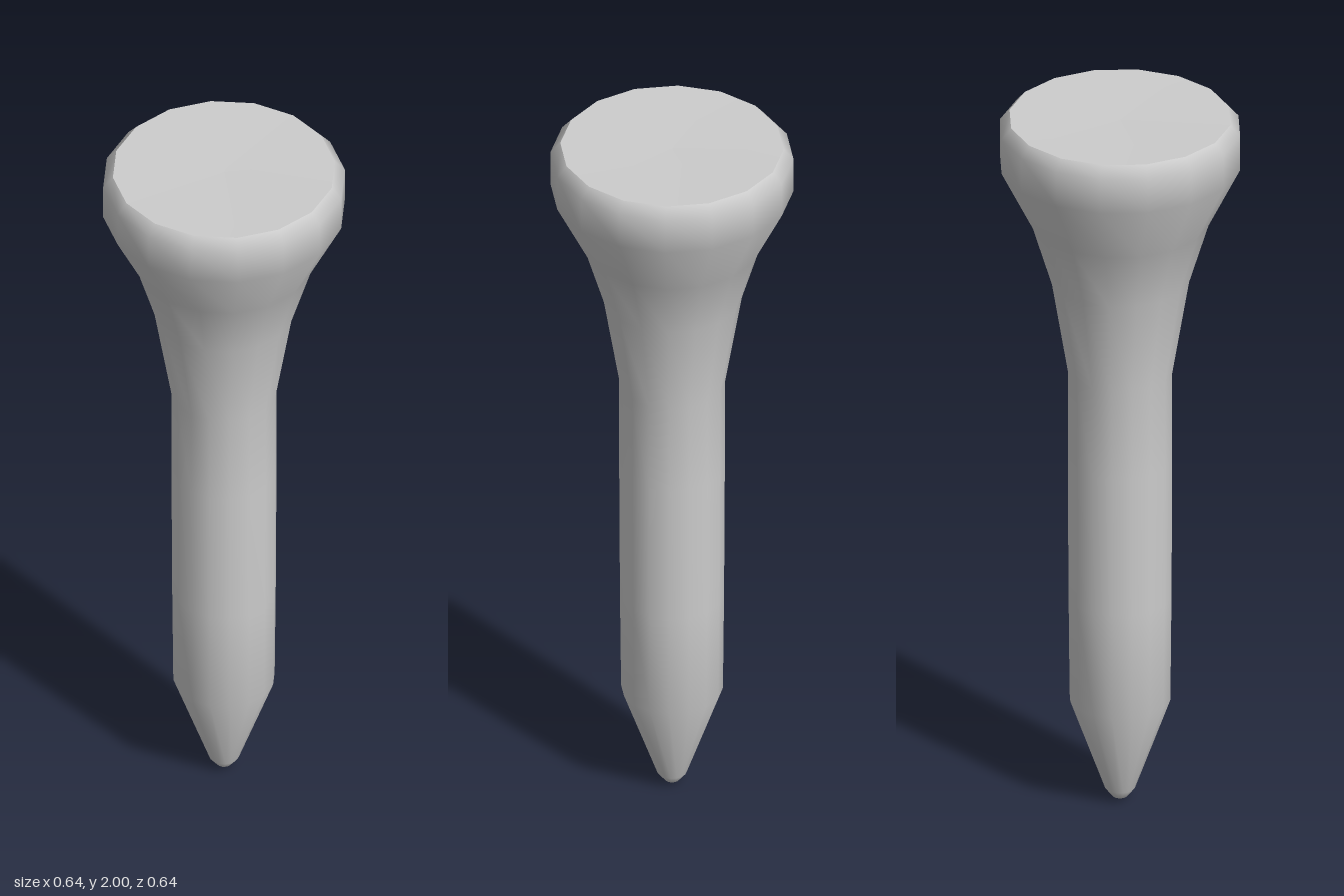
import * as THREE from 'three';

const SIDES = 16;

// Surface of revolution from [radius, height] pairs, listed bottom to top
function turned(name, points, material) {
  const profile = points.map(([r, y]) => new THREE.Vector2(r, y));
  const mesh = new THREE.Mesh(new THREE.LatheGeometry(profile, SIDES), material);
  mesh.name = name;
  return mesh;
}

export function createModel() {
  const group = new THREE.Group();
  group.name = 'peg';

  const grey = new THREE.MeshStandardMaterial({ color: 0xcccccc });
  grey.name = 'light grey';

  // Pointed tip, straight shaft and flared head in one smooth sweep
  group.add(turned('body', [
    [0, 0], [0.02, 0.01], [0.04, 0.035],
    [0.135, 0.3], [0.138, 0.6], [0.14, 1.0], [0.14, 1.26],
    [0.185, 1.53], [0.237, 1.7],
    [0.322, 1.87], [0.322, 1.97], [0.296, 2],
  ], grey));

  // Almost flat top, dished very slightly, with a hard edge at the rim
  group.add(turned('topFace', [[0.296, 2], [0, 1.993]], grey));

  return group;
}
